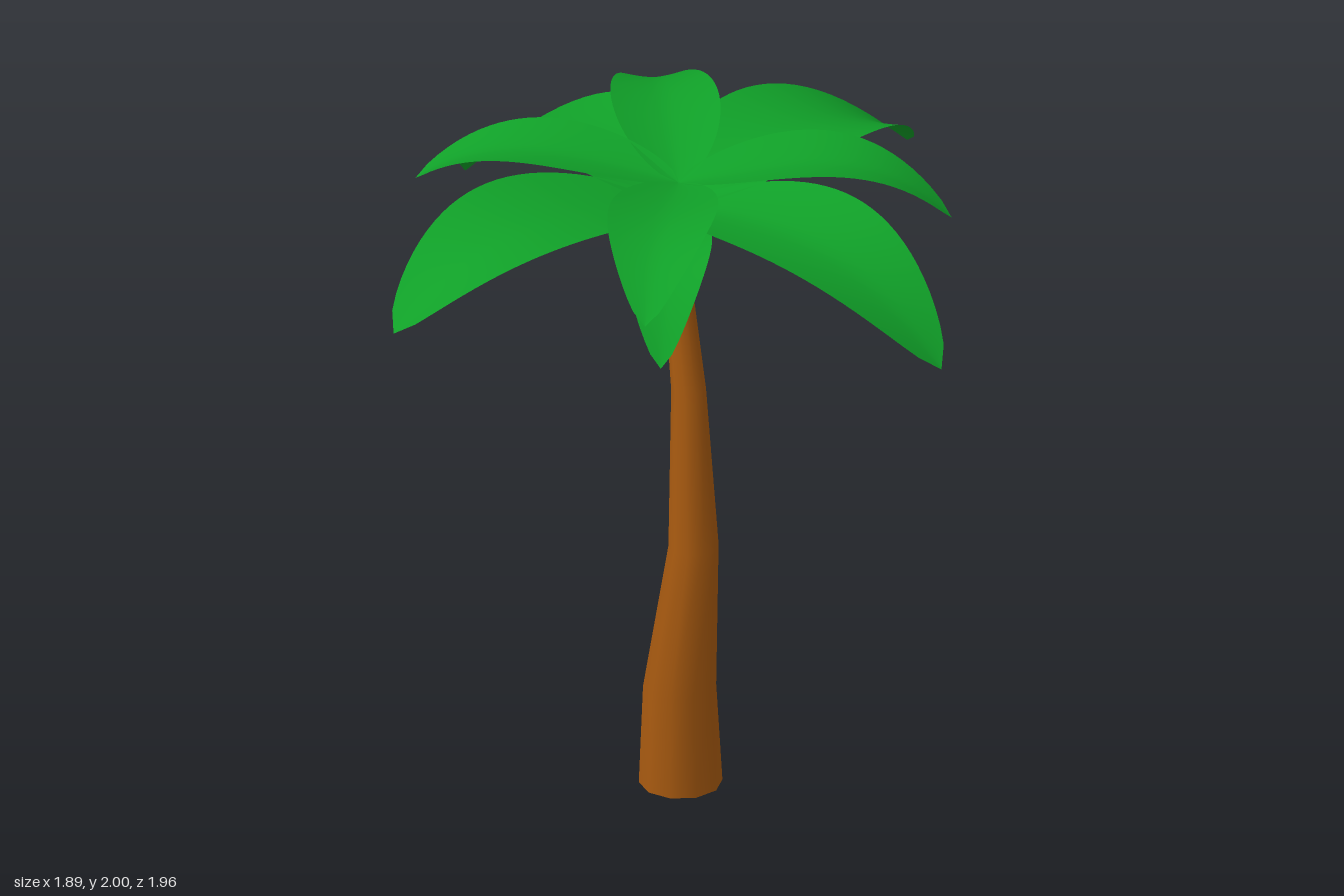
import * as THREE from 'three';
import { mergeVertices } from 'three/addons/utils/BufferGeometryUtils.js';

const bark = new THREE.MeshStandardMaterial({ color: 0xa85a10 });
const green = new THREE.MeshStandardMaterial({ color: 0x10a028, side: THREE.DoubleSide });

// Leaf swept along an arched midrib: plan positions [x, z], heights, sideways bend, half width
function leafGeometry({ base, baseY, tip, tipY, rise, power, bend, width }) {
  const rows = 28, cols = 12;
  const geo = new THREE.PlaneGeometry(1, 1, cols, rows);
  const pos = geo.attributes.position;
  const dx = tip[0] - base[0], dz = tip[1] - base[1], len = Math.hypot(dx, dz);
  const px = -dz / len, pz = dx / len;
  const drop = baseY + rise - tipY;
  for (let i = 0; i < pos.count; i++) {
    const u = pos.getX(i) * 2;
    const s = 0.5 + pos.getY(i);
    const half = width * Math.pow(Math.max(0, Math.sin(Math.PI * Math.pow(s, 0.9))), 0.62);
    const side = u * half + bend * 4 * s * (1 - s);
    // Shallow trough: the edges sit above the midrib
    const fold = 0.2 * half * Math.abs(u) ** 1.5;
    pos.setXYZ(i,
      base[0] + dx * s + px * side,
      baseY + rise * s - drop * Math.pow(s, power) + fold,
      base[1] + dz * s + pz * side);
  }
  geo.computeVertexNormals();
  return geo;
}

export function createModel() {
  const model = new THREE.Group();

  // Trunk rings from top to bottom: height, centre x, centre z, radius
  const rings = [[1.84, -0.035, 0, 0.033], [1.76, -0.03, 0, 0.036], [1.27, 0.045, 0, 0.05],
    [0.78, 0.067, 0, 0.072], [0.31, 0.005, 0, 0.105], [0, 0, -0.008, 0.12]];
  const n = rings.length - 1;
  let trunkGeo = new THREE.CylinderGeometry(1, 1, 1, 10, n, true);
  const p = trunkGeo.attributes.position;
  for (let i = 0; i < p.count; i++) {
    const [y, cx, cz, r] = rings[Math.round((0.5 - p.getY(i)) * n)];
    p.setXYZ(i, cx + p.getX(i) * r, y, cz + p.getZ(i) * r);
  }
  trunkGeo.deleteAttribute('uv');
  trunkGeo.deleteAttribute('normal');
  trunkGeo = mergeVertices(trunkGeo);
  trunkGeo.computeVertexNormals();
  const trunk = new THREE.Mesh(trunkGeo, bark);
  trunk.name = 'trunk';
  model.add(trunk);

  const foot = new THREE.Mesh(new THREE.CircleGeometry(0.12, 10, Math.PI / 2), bark);
  foot.rotation.x = Math.PI / 2;
  foot.position.z = -0.008;
  foot.name = 'trunkBottom';
  model.add(foot);

  // Three tiers of leaves; each leaf is [tip x, tip y, tip z, bend, rise]
  const tiers = [
    { name: 'upperLeaf', base: [0, 0], baseY: 1.91, power: 3.7, width: 0.155, leaves: [
      [0.49, 1.79, -0.61, 0, 0.16], [-0.65, 1.84, -0.44, 0, 0.16],
      [-0.6, 1.85, 0.48, 0, 0.16], [0.53, 1.83, 0.57, 0, 0.16]] },
    { name: 'largeLeaf', base: [-0.03, -0.02], baseY: 1.82, power: 3.1, width: 0.233, leaves: [
      [0.945, 1.61, -0.19, 0.03, 0.22], [-0.95, 1.59, 0, 0.04, 0.2],
      [-0.15, 1.68, -0.98, 0.02, 0.24], [-0.1, 1.7, 0.98, 0, 0.24]] },
    { name: 'lowerLeaf', base: [-0.03, 0], baseY: 1.77, power: 2.9, width: 0.13, leaves: [
      [0.41, 1.6, 0.41, 0, 0.19], [-0.45, 1.57, 0.24, 0, 0.16],
      [-0.25, 1.59, -0.49, 0, 0.17], [0.35, 1.61, -0.4, 0, 0.19]] },
  ];
  const crown = new THREE.Group();
  crown.name = 'crown';
  for (const { name, leaves, ...shape } of tiers) {
    leaves.forEach(([x, tipY, z, bend, rise], i) => {
      const leaf = new THREE.Mesh(leafGeometry({ ...shape, tip: [x, z], tipY, bend, rise }), green);
      leaf.name = name + (i + 1);
      crown.add(leaf);
    });
  }
  model.add(crown);
  return model;
}
